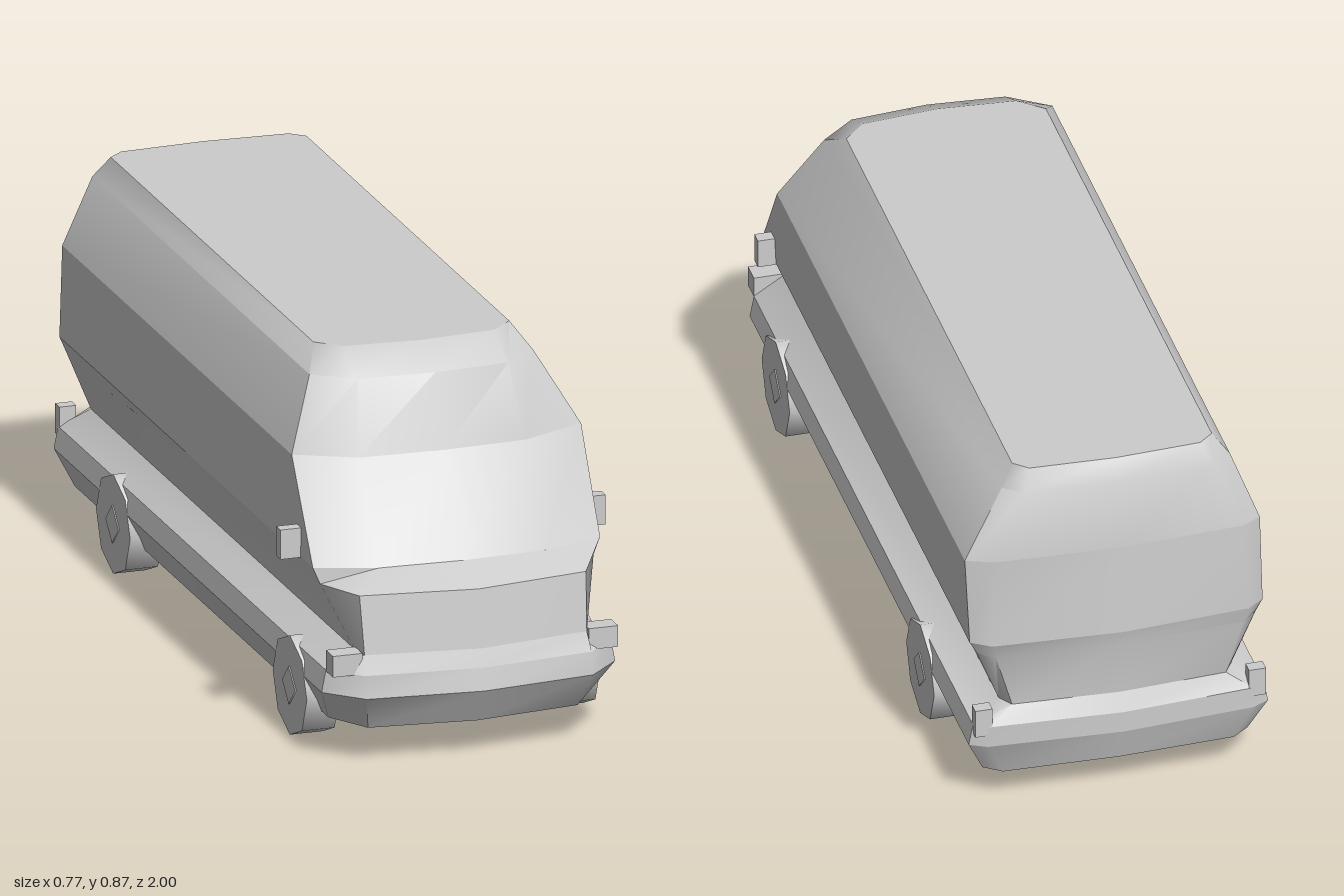
import * as THREE from 'three';
import { mergeVertices, toCreasedNormals } from 'three/addons/utils/BufferGeometryUtils.js';

// One horizontal outline of the body, counter-clockwise seen from above.
// wl / wr: half width on the left and right; f*: front, r*: rear
function ring({ y, wl, wr, fx, zf, zs, zc, rc, rx, rs, zr }) {
  return [
    [0, y, zf], [fx, y, zs], [wl, y, zc], [wl, y, rc], [rx, y, rs],
    [0, y, zr], [-rx, y, rs], [-wr, y, rc], [-wr, y, zc], [-fx, y, zs],
  ];
}

function finish(points, index, crease = 0.75) {
  const g = new THREE.BufferGeometry();
  g.setAttribute('position', new THREE.Float32BufferAttribute(points.flat(), 3));
  g.setIndex(index);
  return toCreasedNormals(mergeVertices(g), crease);
}

// Skin between successive outlines
function band(levels) {
  const rings = levels.map(ring), n = rings[0].length, index = [];
  for (let k = 0; k < rings.length - 1; k++) {
    for (let i = 0; i < n; i++) {
      const a = k * n + i, b = k * n + (i + 1) % n;
      index.push(a, b, b + n, a, b + n, a + n);
    }
  }
  return finish(rings.flat(), index);
}

// Flat lid on one outline
function cap(level, up) {
  const pts = ring(level), n = pts.length, index = [];
  pts.push([0, level.y, 0]);
  for (let i = 0; i < n; i++) {
    const j = (i + 1) % n;
    index.push(n, up ? i : j, up ? j : i);
  }
  return finish(pts, index);
}

export function createModel() {
  const group = new THREE.Group();
  const grey = new THREE.MeshStandardMaterial({ color: 0xcccccc });
  grey.name = 'light grey';

  const add = (name, geometry, x = 0, y = 0, z = 0) => {
    const m = new THREE.Mesh(geometry, grey);
    m.name = name;
    m.position.set(x, y, z);
    group.add(m);
    return m;
  };

  // Outlines from the floor to the roof
  const floor = { y: 0.085, wl: 0.31, wr: 0.31, fx: 0.25, zf: 0.95, zs: 0.92, zc: 0.82, rc: -0.93, rx: 0.27, rs: -0.96, zr: -0.97 };
  const sill = { y: 0.17, wl: 0.35, wr: 0.35, fx: 0.27, zf: 1.0, zs: 0.97, zc: 0.89, rc: -0.96, rx: 0.31, rs: -0.98, zr: -1.0 };
  const bumper = { y: 0.222, wl: 0.34, wr: 0.34, fx: 0.27, zf: 0.99, zs: 0.96, zc: 0.89, rc: -0.96, rx: 0.31, rs: -0.98, zr: -1.0 };
  const waist = { y: 0.265, wl: 0.272, wr: 0.272, fx: 0.265, zf: 0.98, zs: 0.94, zc: 0.89, rc: -0.93, rx: 0.25, rs: -0.965, zr: -0.98 };
  const nose = { y: 0.4, wl: 0.326, wr: 0.326, fx: 0.27, zf: 0.96, zs: 0.92, zc: 0.81, rc: -0.94, rx: 0.29, rs: -0.975, zr: -0.99 };
  const belt = { y: 0.437, wl: 0.345, wr: 0.34, fx: 0.2, zf: 0.86, zs: 0.85, zc: 0.8, rc: -0.95, rx: 0.3, rs: -0.98, zr: -1.0 };
  const eaves = { y: 0.655, wl: 0.355, wr: 0.335, fx: 0.2, zf: 0.72, zs: 0.71, zc: 0.64, rc: -0.945, rx: 0.29, rs: -0.97, zr: -0.985 };
  const shoulder = { y: 0.82, wl: 0.262, wr: 0.272, fx: 0.18, zf: 0.66, zs: 0.645, zc: 0.58, rc: -0.92, rx: 0.22, rs: -0.955, zr: -0.97 };
  const roof = { y: 0.868, wl: 0.232, wr: 0.235, fx: 0.18, zf: 0.565, zs: 0.55, zc: 0.5, rc: -0.9, rx: 0.2, rs: -0.93, zr: -0.94 };

  add('underside', cap(floor, false));
  add('sill', band([floor, sill]));
  add('bumperBand', band([sill, bumper]));
  add('ledge', band([bumper, waist]));
  add('lowerBody', band([waist, nose, belt]));
  add('windshieldAndSides', band([belt, eaves]));
  add('raisedRoof', band([eaves, shoulder, roof]));
  add('roofPanel', cap(roof, true));

  // Mirrors, lamps and wheels on both sides
  for (const side of [1, -1]) {
    const label = side > 0 ? 'left' : 'right';
    add(label + 'Mirror', new THREE.BoxGeometry(0.055, 0.07, 0.03), side * 0.36, 0.47, 0.7);
    add(label + 'Headlamp', new THREE.BoxGeometry(0.07, 0.05, 0.05), side * 0.305, 0.245, 0.915);
    add(label + 'TailLamp', new THREE.BoxGeometry(0.04, 0.07, 0.03), side * 0.32, 0.235, -0.965);

    for (const [end, z] of [['Front', 0.67], ['Rear', -0.55]]) {
      const tyre = new THREE.CylinderGeometry(0.118, 0.118, 0.078, 8);
      tyre.rotateZ(Math.PI / 2);
      add(label + end + 'Wheel', toCreasedNormals(tyre, 0.9), side * 0.311, 0.119, z);
      const hub = new THREE.CylinderGeometry(0.045, 0.045, 0.004, 4).rotateZ(Math.PI / 2);
      add(label + end + 'Hub', hub, side * 0.351, 0.119, z);
    }
  }
  return group;
}
